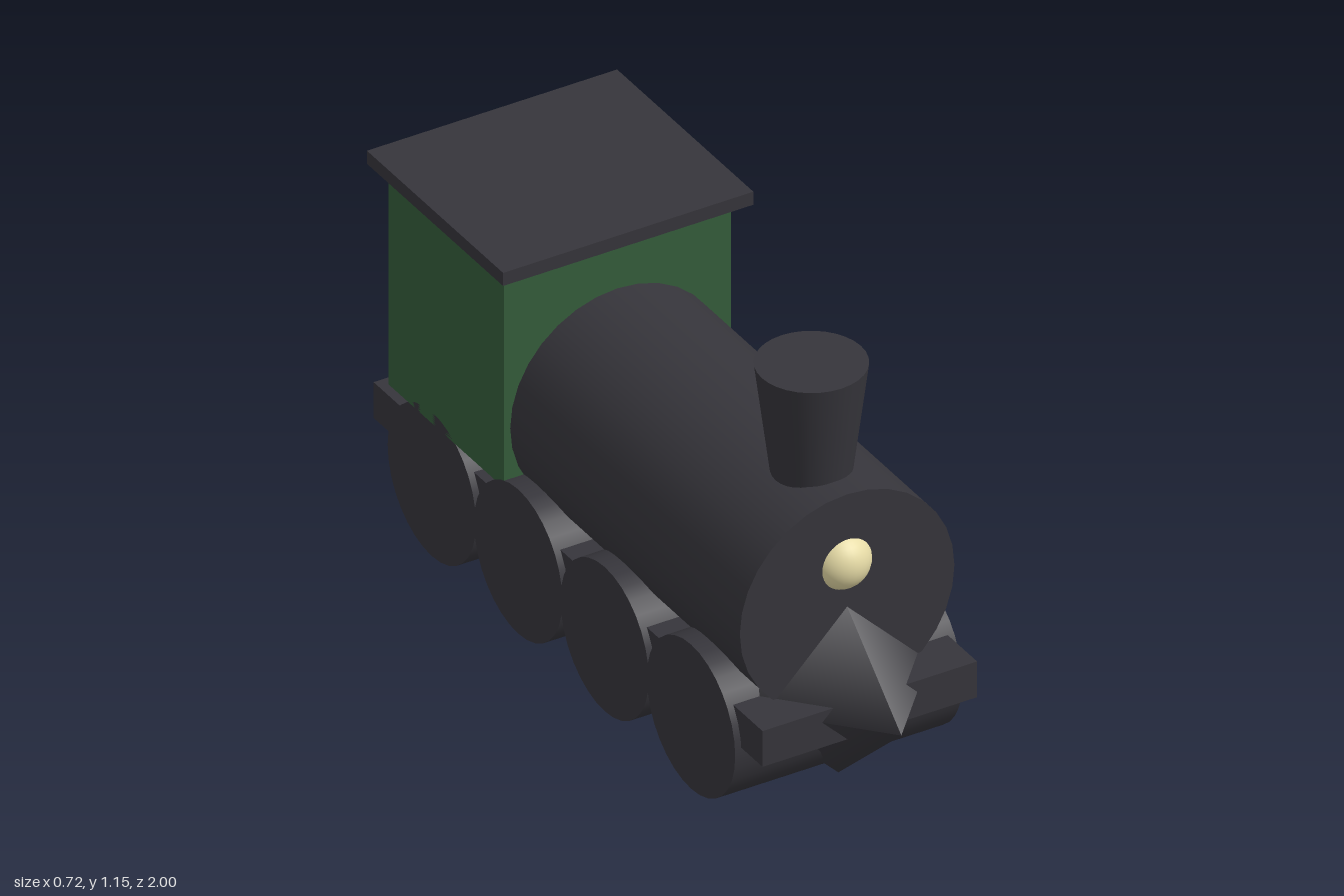
import * as THREE from 'three';

export function createModel() {
  const model = new THREE.Group();
  model.name = 'steamLocomotive';

  const material = (name, color) => {
    const m = new THREE.MeshStandardMaterial({ color });
    m.name = name;
    return m;
  };
  const iron = material('dark iron', 0x36353b);
  const green = material('cab green', 0x355e3b);
  const cream = material('lamp cream', 0xe6dba6);

  const add = (name, geometry, mat, x, y, z) => {
    const mesh = new THREE.Mesh(geometry, mat);
    mesh.name = name;
    mesh.position.set(x, y, z);
    model.add(mesh);
    return mesh;
  };

  // Chassis plank, showing as a buffer beam at both ends
  add('chassis', new THREE.BoxGeometry(0.614, 0.104, 1.85), iron, 0, 0.282, -0.075);

  // Wheels: four full-width rollers
  const wheel = new THREE.CylinderGeometry(0.21, 0.21, 0.65, 32).rotateZ(Math.PI / 2);
  for (let i = 0; i < 4; i++) {
    add('wheelPair' + (i + 1), wheel, iron, 0, 0.212, 0.54 - i * 0.411);
  }

  // Boiler, running up to the cab
  const boiler = new THREE.CylinderGeometry(0.307, 0.307, 1.1, 32).rotateX(Math.PI / 2);
  add('boiler', boiler, iron, 0, 0.556, 0.192);

  // Chimney flaring upwards, its foot sunk into the boiler
  add('chimney', new THREE.CylinderGeometry(0.142, 0.102, 0.315, 32), iron, 0, 0.9975, 0.572);

  // Headlamp set into the boiler front
  add('headlamp', new THREE.SphereGeometry(0.08, 32, 20), cream, 0, 0.66, 0.706);

  // Four-sided pointed cowcatcher
  const plough = new THREE.ConeGeometry(0.272, 0.3, 4).rotateX(Math.PI / 2);
  add('cowcatcher', plough, iron, 0, 0.302, 0.85);

  // Cab and the roof floating just above it
  add('cab', new THREE.BoxGeometry(0.65, 0.612, 0.548), green, 0, 0.695, -0.624);
  add('cabRoof', new THREE.BoxGeometry(0.716, 0.038, 0.648), iron, 0, 1.035, -0.623);

  return model;
}
